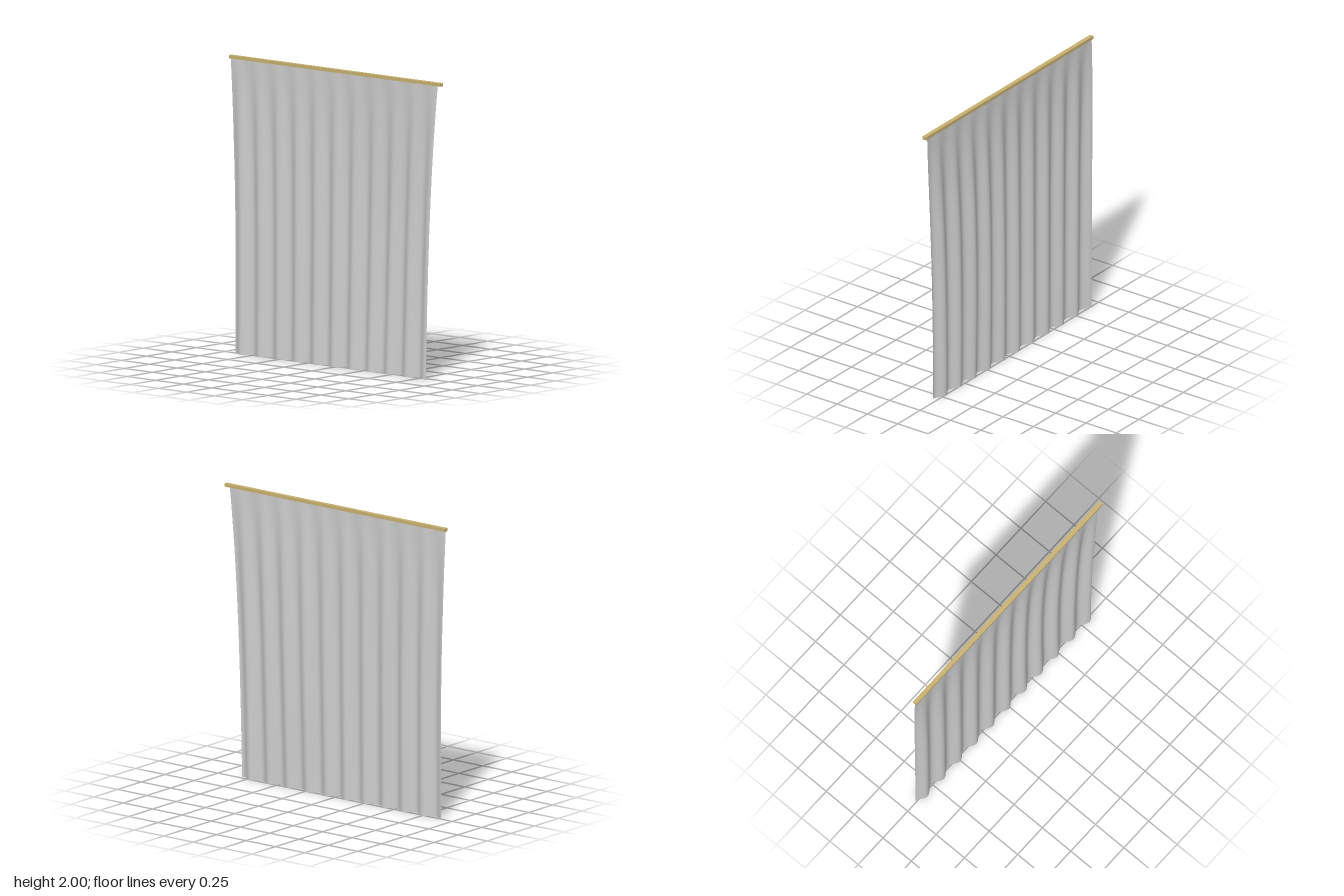
import * as THREE from 'three';

// Outline of each side edge as [y, z], from hem to rod
const edge = (points) => {
  const curve = new THREE.SplineCurve(points.map(([y, z]) => new THREE.Vector2(y, z)));
  const samples = curve.getPoints(200);
  return (y) => {
    let i = 0;
    while (i < samples.length - 2 && samples[i + 1].x < y) i++;
    const a = samples[i], b = samples[i + 1];
    return THREE.MathUtils.lerp(a.y, b.y, (y - a.x) / (b.x - a.x));
  };
};

const HEIGHT = 1.985;
const CENTRE_X = -0.01;
const FOLD_SPACING = 0.1667;

function createCloth() {
  const leftEdge = edge([[0, 0.815], [0.5, 0.825], [1, 0.842], [1.5, 0.87], [2, 0.908]]);
  const rightEdge = edge([[0, -0.912], [0.5, -0.912], [1, -0.916], [1.5, -0.927], [2, -0.938]]);
  const zMin = rightEdge(1), zMax = leftEdge(1);

  const geometry = new THREE.PlaneGeometry(1, 1, 240, 48);
  geometry.rotateY(Math.PI / 2); // face +x
  const pos = geometry.attributes.position;
  for (let i = 0; i < pos.count; i++) {
    const u = pos.getZ(i) + 0.5;
    const y = (pos.getY(i) + 0.5) * HEIGHT;
    const zRest = THREE.MathUtils.lerp(zMin, zMax, u);
    // gather the cloth, mostly towards the left edge
    const z = zRest + (leftEdge(y) - zMax) * u ** 1.5 + (rightEdge(y) - zMin) * (1 - u) ** 1.5;
    // folds grow from flat at the rod
    const drop = 1 - y / HEIGHT;
    const depth = 0.0195 * (1 - Math.exp(-5 * drop));
    const fold = -Math.cos((2 * Math.PI * (zRest + 0.838)) / FOLD_SPACING);
    // soft outward billow at mid height
    const billow = Math.sin(Math.PI * drop) * (0.003 + 0.013 * Math.exp(-(((zRest - 0.38) / 0.28) ** 2)));
    pos.setXYZ(i, CENTRE_X + depth * fold + billow, y, z);
  }
  geometry.computeVertexNormals();
  const mesh = new THREE.Mesh(
    geometry,
    new THREE.MeshStandardMaterial({ color: 0xcccccc, side: THREE.DoubleSide })
  );
  mesh.name = 'curtainCloth';
  return mesh;
}

function createRod() {
  const mesh = new THREE.Mesh(
    new THREE.BoxGeometry(0.03, 0.022, 1.88),
    new THREE.MeshStandardMaterial({ color: 0xc8b070 })
  );
  mesh.position.set(CENTRE_X, 1.989, 0);
  mesh.name = 'curtainRod';
  return mesh;
}

export function createModel() {
  const group = new THREE.Group();
  group.name = 'curtain';
  group.add(createRod(), createCloth());
  return group;
}
